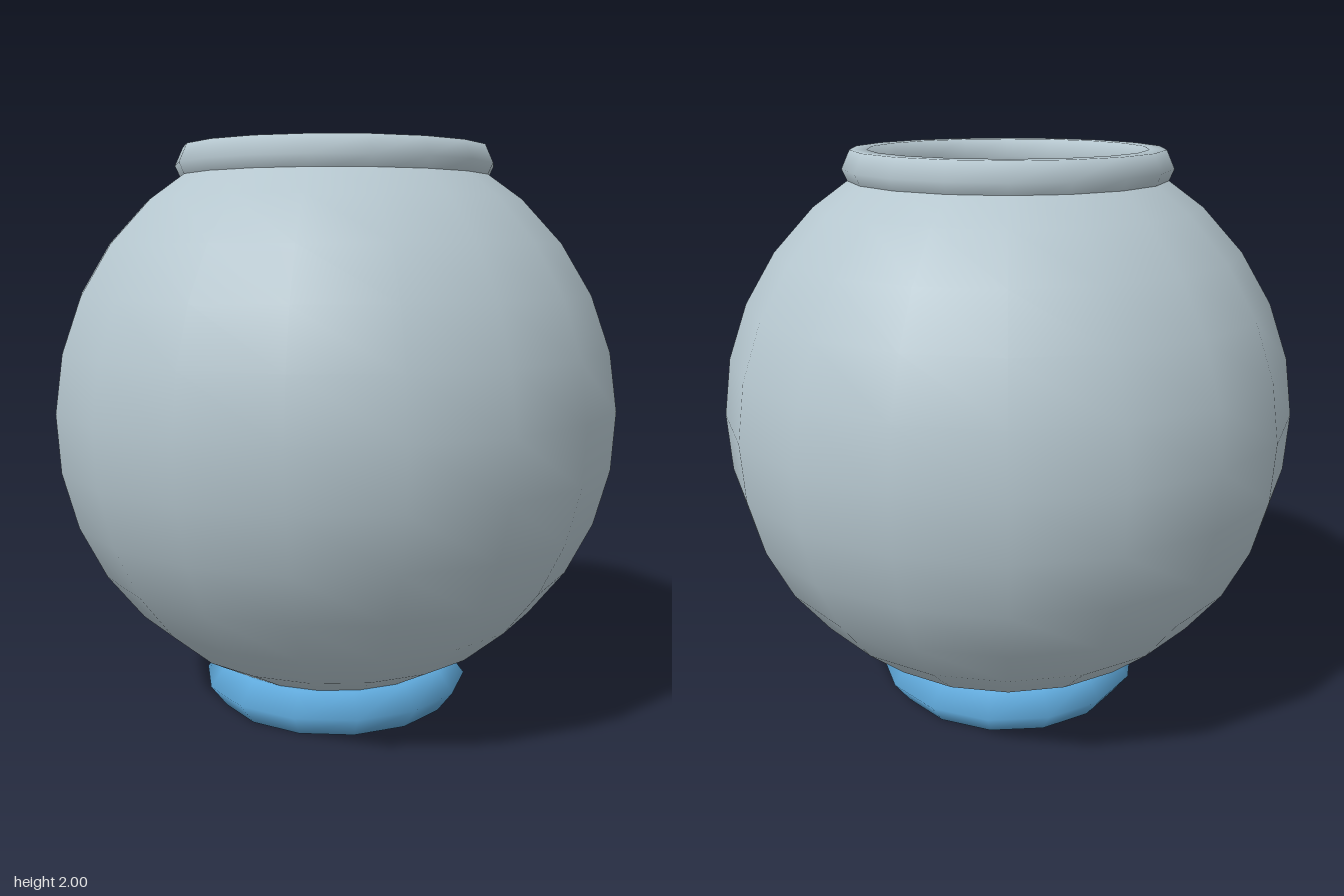
import * as THREE from 'three';

export function createModel() {
  const group = new THREE.Group();
  const glass = new THREE.MeshStandardMaterial({ color: 0xb5c6ce, side: THREE.DoubleSide });
  glass.name = 'glass grey';
  const blue = new THREE.MeshStandardMaterial({ color: 0x5fa9db });
  blue.name = 'water blue';

  function add(name, geometry, material, y) {
    const mesh = new THREE.Mesh(geometry, material);
    mesh.name = name;
    mesh.position.y = y;
    group.add(mesh);
  }

  // Horizontal ring with a six-sided section, stretched in height
  function ring(radius, tube, sides, heightScale) {
    return new THREE.TorusGeometry(radius, tube, 6, sides)
      .rotateX(Math.PI / 2)
      .scale(1, heightScale, 1);
  }

  // Round bowl, open at the top
  const opening = Math.PI / 6;
  add('bowl', new THREE.SphereGeometry(1, 18, 13, 0, Math.PI * 2, opening, Math.PI - opening), glass, 1.066);

  // Rim around the opening
  add('rim', ring(0.506, 0.057, 18, 1.27), glass, 1.937);

  // Rounded body of water inside the bowl
  add('water', new THREE.SphereGeometry(0.85, 18, 14).scale(1, 0.88, 1), blue, 0.93);

  // Ring foot
  add('foot', ring(0.367, 0.117, 14, 0.76), blue, 0.078);

  return group;
}
